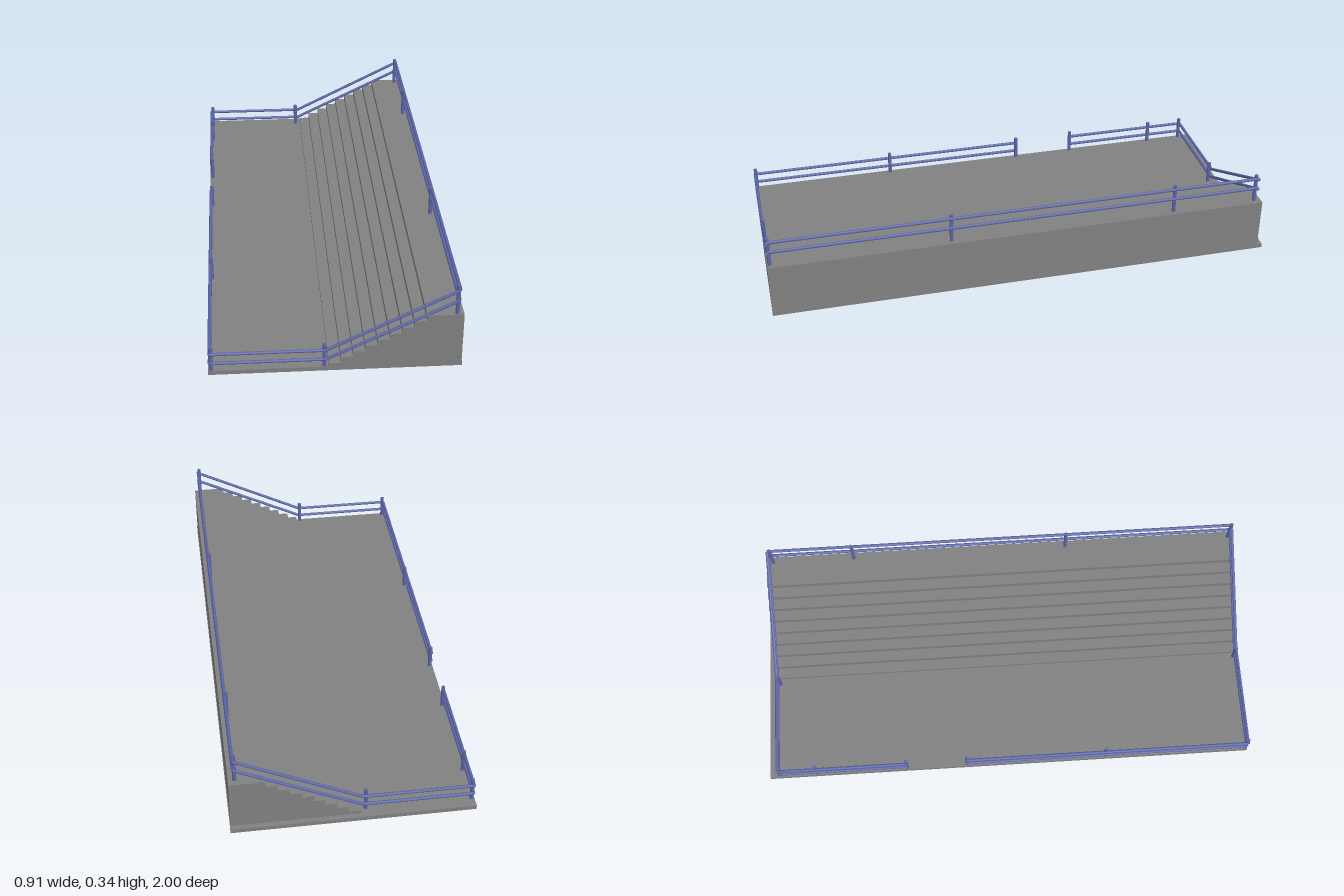
import * as THREE from 'three';

const concrete = new THREE.MeshStandardMaterial({ color: 0x808080 });
concrete.name = 'concrete grey';
const paint = new THREE.MeshStandardMaterial({ color: 0x5c66a6 });
paint.name = 'railing blue';

const LOW = 0.017, HIGH = 0.222;    // floor heights of slab and top step
const RAILS = [0.029, 0.068];       // rail heights above the slab
const TOP_RAILS = [0.058, 0.101];   // rail heights above the top step

function add(group, name, geometry, material, x = 0, y = 0, z = 0) {
  const mesh = new THREE.Mesh(geometry, material);
  mesh.name = name;
  mesh.position.set(x, y, z);
  group.add(mesh);
  return mesh;
}

function post(group, x, z, floor, height) {
  add(group, 'railPost', new THREE.CylinderGeometry(0.0075, 0.0075, height, 12), paint, x, floor + height / 2, z);
}

// Round bar between two points
function rail(group, a, b) {
  const from = new THREE.Vector3(...a), to = new THREE.Vector3(...b);
  const dir = to.clone().sub(from);
  const bar = add(group, 'rail', new THREE.CylinderGeometry(0.0062, 0.0062, dir.length(), 10), paint);
  bar.position.copy(from).add(to).multiplyScalar(0.5);
  bar.quaternion.setFromUnitVectors(new THREE.Vector3(0, 1, 0), dir.normalize());
}

export function createModel() {
  const model = new THREE.Group();
  model.name = 'steppedStand';

  // Ground slab
  add(model, 'baseSlab', new THREE.BoxGeometry(0.914, LOW, 1.999), concrete, 0, LOW / 2, -0.0005);

  // Stepped terrace, nine treads, extruded along z
  const profile = new THREE.Shape();
  const steps = 9, startX = -0.025, run = 0.0435, firstY = 0.031;
  const rise = (HIGH - firstY) / (steps - 1);
  profile.moveTo(startX, 0.002);
  profile.lineTo(0.455, 0.002);
  profile.lineTo(0.455, HIGH);
  for (let i = steps - 1; i >= 0; i--) {
    const x = startX + i * run;
    profile.lineTo(x, firstY + i * rise);
    if (i > 0) profile.lineTo(x, firstY + (i - 1) * rise);
  }
  profile.closePath();
  add(model, 'steppedTerrace', new THREE.ExtrudeGeometry(profile, { depth: 1.98, bevelEnabled: false }), concrete, 0, 0, -0.98);

  // Low side railing, with an entrance gap
  const lowSide = new THREE.Group();
  lowSide.name = 'lowSideRailing';
  for (const z of [-0.957, -0.806, -0.43, -0.178, 0.4, 0.99]) post(lowSide, -0.446, z, LOW, 0.095);
  for (const h of RAILS) {
    rail(lowSide, [-0.451, LOW + h, -0.965], [-0.451, LOW + h, -0.425]);
    rail(lowSide, [-0.451, LOW + h, -0.183], [-0.451, LOW + h, 0.993]);
  }
  model.add(lowSide);

  // Railing along the top step
  const highSide = new THREE.Group();
  highSide.name = 'highSideRailing';
  for (const z of [-0.952, -0.61, 0.292, 0.99]) post(highSide, 0.431, z, HIGH, 0.119);
  for (const h of TOP_RAILS) rail(highSide, [0.436, HIGH + h + 0.002, -0.963], [0.436, HIGH + h + 0.002, 0.993]);
  model.add(highSide);

  // End railings: level over the slab, then sloping up the steps
  for (const [name, z, postZ, midX] of [['frontRailing', 0.993, 0.99, -0.04], ['backRailing', -0.963, -0.955, -0.047]]) {
    const end = new THREE.Group();
    end.name = name;
    post(end, midX, postZ, LOW, 0.095);
    RAILS.forEach((h, i) => {
      rail(end, [-0.453, LOW + h, z], [-0.036, LOW + h, z]);
      rail(end, [-0.04, LOW + h - 0.002, z], [0.437, HIGH + TOP_RAILS[i] - 0.002, z]);
    });
    model.add(end);
  }
  return model;
}
